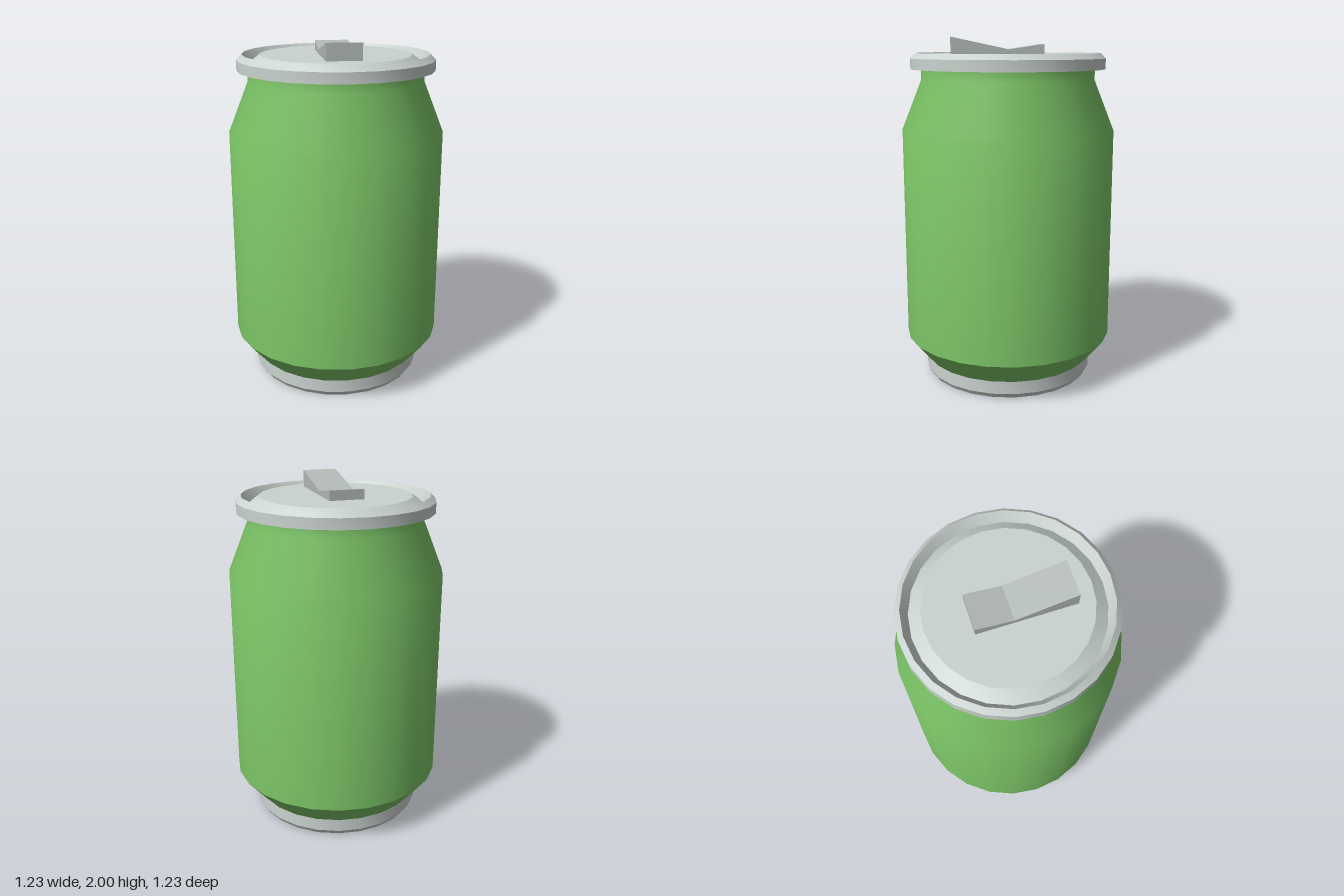
import * as THREE from 'three';
import { toCreasedNormals } from 'three/addons/utils/BufferGeometryUtils.js';

const SIDES = 24;

function material(name, color) {
  const m = new THREE.MeshStandardMaterial({ color });
  m.name = name;
  return m;
}

// Revolve a profile of [radius, y] pairs, keeping sharp rims crisp
function turned(name, profile, mat) {
  const points = profile.map(([r, y]) => new THREE.Vector2(r, y));
  const mesh = new THREE.Mesh(toCreasedNormals(new THREE.LatheGeometry(points, SIDES), 0.5), mat);
  mesh.name = name;
  return mesh;
}

export function createModel() {
  const green = material('can green', 0x7cc567);
  const metal = material('light metal', 0xcad3cf);
  const tabMetal = material('tab metal', 0xb3bbb8);

  const can = new THREE.Group();
  can.name = 'drinkCan';

  // Foot with a small bevel and closed underside
  can.add(turned('foot', [[0, 0], [0.48, 0], [0.5, 0.03], [0.5, 0.105]], metal));

  // Painted wall: lower taper, straight side, shoulder and neck
  can.add(turned('body', [
    [0.5, 0.105], [0.615, 0.245], [0.615, 1.475], [0.5, 1.76], [0.5, 1.82],
  ], green));

  // Lid: overhanging rim, groove and raised centre panel
  can.add(turned('lid', [
    [0.49, 1.82], [0.56, 1.82], [0.56, 1.88], [0.53, 1.91],
    [0.495, 1.855], [0.43, 1.905], [0, 1.905],
  ], metal));

  // Pull tab: V-shaped side profile in (z, y), extruded across x
  const side = new THREE.Shape([
    [-0.2, 1.905], [0.33, 1.905], [0.33, 2], [0, 1.93], [-0.2, 1.96],
  ].map(([z, y]) => new THREE.Vector2(z, y)));
  const tabGeometry = new THREE.ExtrudeGeometry(side, { depth: 0.196, bevelEnabled: false });
  tabGeometry.translate(0, 0, -0.098).rotateY(-Math.PI / 2);
  const tab = new THREE.Mesh(tabGeometry, tabMetal);
  tab.name = 'pullTab';
  can.add(tab);

  return can;
}
